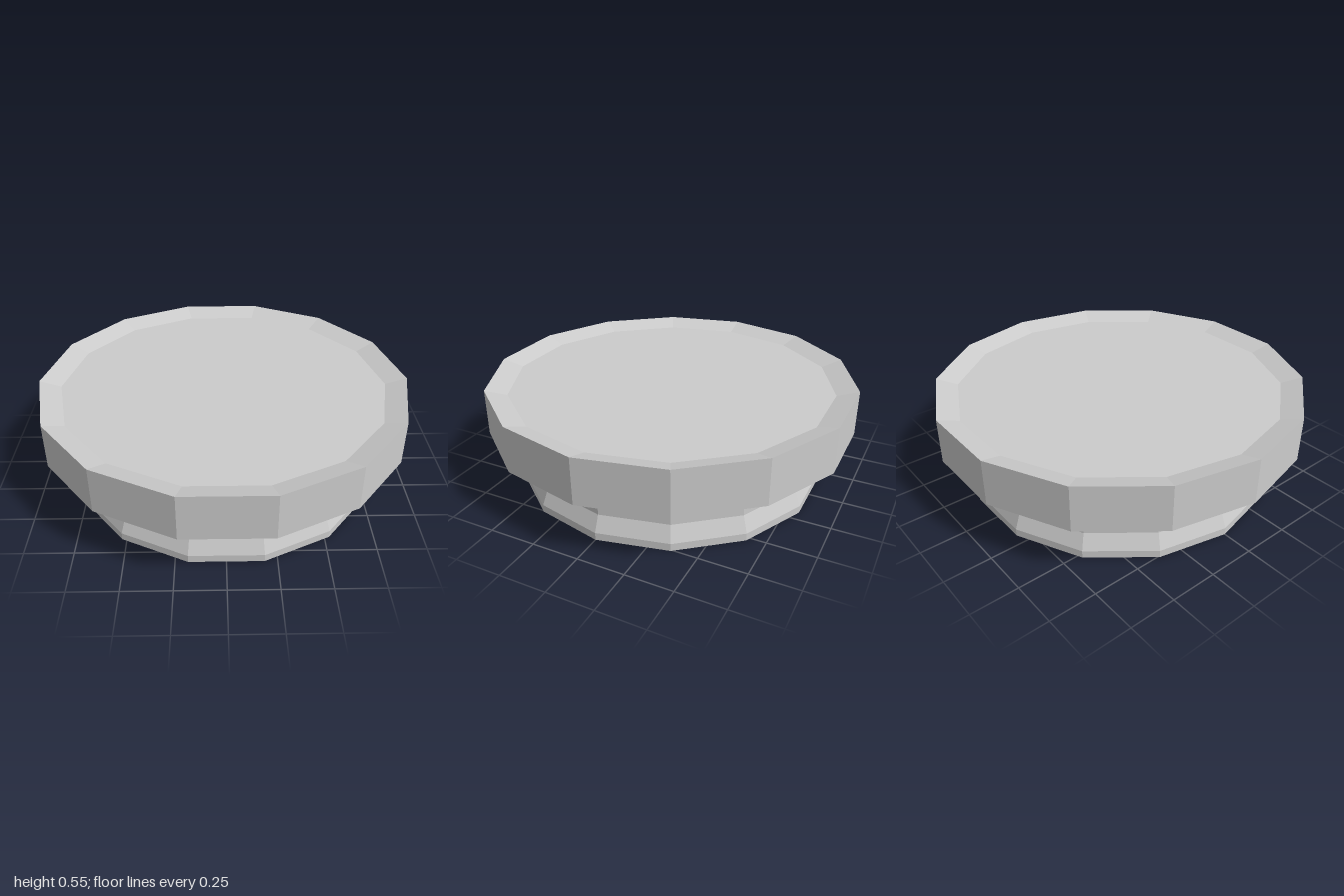
import * as THREE from 'three';

const SIDES = 14;

// Faceted turned part from [radius, height] pairs, bottom to top, with a corner on the x axis
function turned(name, profile, material) {
  const points = profile.map(([r, y]) => new THREE.Vector2(r, y));
  const mesh = new THREE.Mesh(new THREE.LatheGeometry(points, SIDES, Math.PI / 2), material);
  mesh.name = name;
  return mesh;
}

export function createModel() {
  const model = new THREE.Group();
  model.name = 'roundPedestal';
  const material = new THREE.MeshStandardMaterial({ color: 0xcccccc, flatShading: true });

  // Closed foot that tapers into a straight neck
  model.add(turned('foot', [[0, 0], [0.84, 0], [0.84, 0.04], [0.805, 0.125], [0.805, 0.235]], material));

  // Sloped underside, upright rim and shallow dished top
  model.add(turned('dish', [[0.805, 0.235], [1, 0.3], [1, 0.545], [0.885, 0.51], [0, 0.51]], material));

  return model;
}
